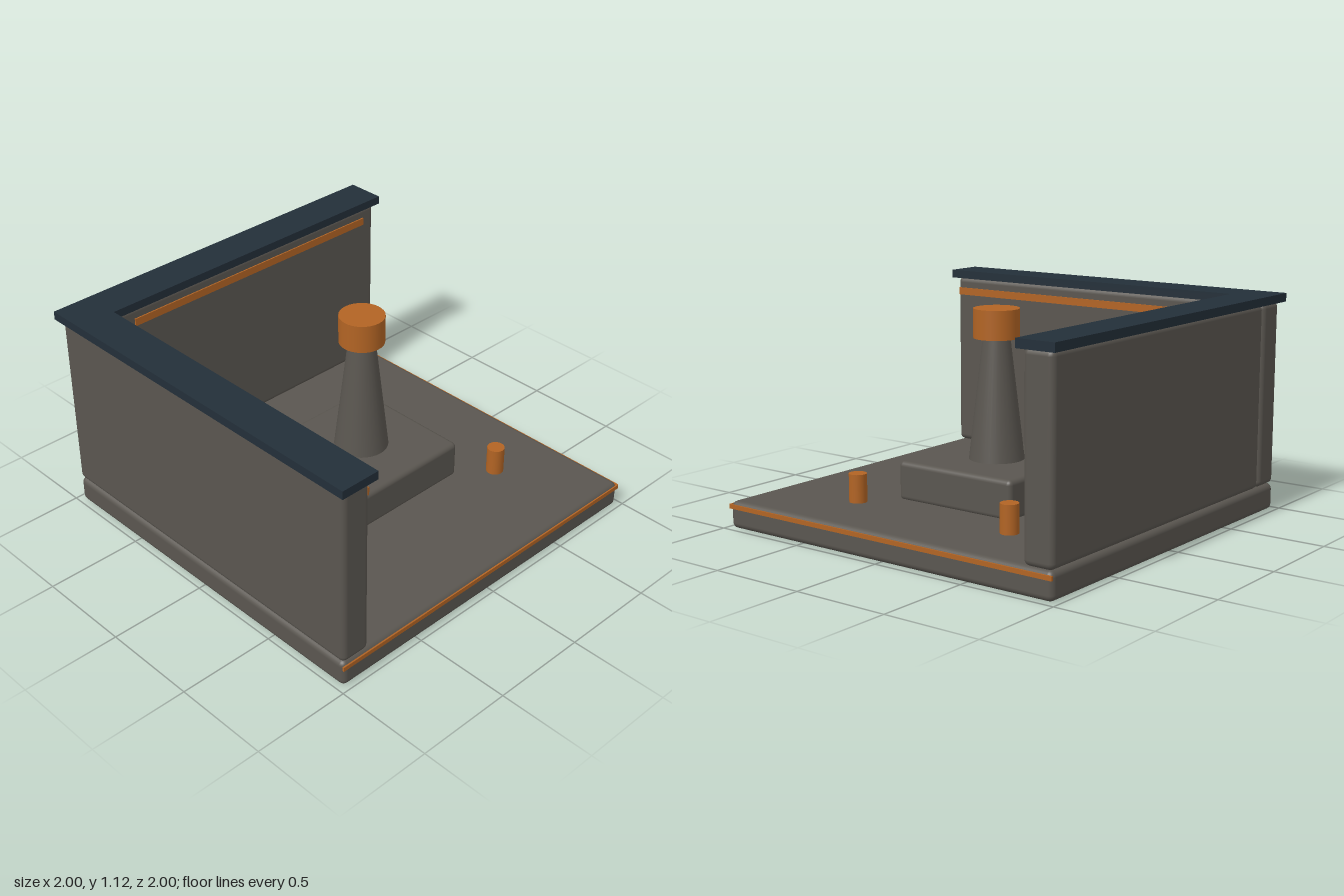
import * as THREE from 'three';
import { RoundedBoxGeometry } from 'three/addons/geometries/RoundedBoxGeometry.js';

export function createModel() {
  const model = new THREE.Group();
  const makeMaterial = (name, color) => {
    const m = new THREE.MeshStandardMaterial({ color });
    m.name = name;
    return m;
  };
  const stone = makeMaterial('warm grey stone', 0x5a5650);
  const copper = makeMaterial('copper orange', 0xb26424);
  const slate = makeMaterial('dark slate blue', 0x232f39);

  const add = (name, geometry, material, x, y, z) => {
    const mesh = new THREE.Mesh(geometry, material);
    mesh.name = name;
    mesh.position.set(x, y, z);
    model.add(mesh);
  };
  // Boxes are given by their [min, max] range on each axis; radius 0 keeps sharp edges
  const box = (name, material, [x0, x1], [y0, y1], [z0, z1], radius = 0) => {
    const size = [x1 - x0, y1 - y0, z1 - z0];
    const geometry = radius
      ? new RoundedBoxGeometry(...size, 3, radius)
      : new THREE.BoxGeometry(...size);
    add(name, geometry, material, (x0 + x1) / 2, (y0 + y1) / 2, (z0 + z1) / 2);
  };
  const cylinder = (name, material, rTop, rBottom, [y0, y1], x, z, sides = 32) =>
    add(name, new THREE.CylinderGeometry(rTop, rBottom, y1 - y0, sides), material, x, (y0 + y1) / 2, z);

  // Floor slab and the two walls standing on it
  const E = 0.975;
  box('floorSlab', stone, [-E, E], [0, 0.138], [-E, E], 0.03);
  box('sideWall', stone, [-E, -0.815], [0.138, 1.08], [-E, E], 0.03);
  box('backWall', stone, [-0.815, E], [0.138, 1.08], [-E, -0.815], 0.03);

  // Wall coping, butted at the corner
  box('sideCoping', slate, [-1, -0.795], [1.075, 1.118], [-1, 1]);
  box('backCoping', slate, [-0.795, 1], [1.075, 1.118], [-1, -0.797]);

  // Thin inlay strips high on the inner wall faces
  box('backWallStrip', copper, [-0.665, 0.895], [0.98, 1.02], [-0.816, -0.808]);
  box('sideWallStrip', copper, [-0.816, -0.808], [0.98, 1.02], [-0.768, 0.96]);

  // Thin strips along the open edges of the slab
  box('frontEdgeStrip', copper, [-E, E], [0.1, 0.122], [0.97, 0.979]);
  box('sideEdgeStrip', copper, [0.97, 0.979], [0.1, 0.122], [-E, E]);

  // Central plinth with tapered post and cap
  const cx = 0.09;
  box('plinth', stone, [cx - 0.347, cx + 0.347], [0.13, 0.328], [-0.347, 0.345], 0.025);
  cylinder('post', stone, 0.067, 0.139, [0.325, 0.94], cx, 0);
  cylinder('postCap', copper, 0.115, 0.115, [0.932, 1.078], cx, 0);

  // Four short pegs around the plinth
  for (const x of [-0.422, 0.602])
    for (const z of [-0.468, 0.464])
      cylinder('peg', copper, 0.045, 0.045, [0.13, 0.281], x, z, 20);

  return model;
}
